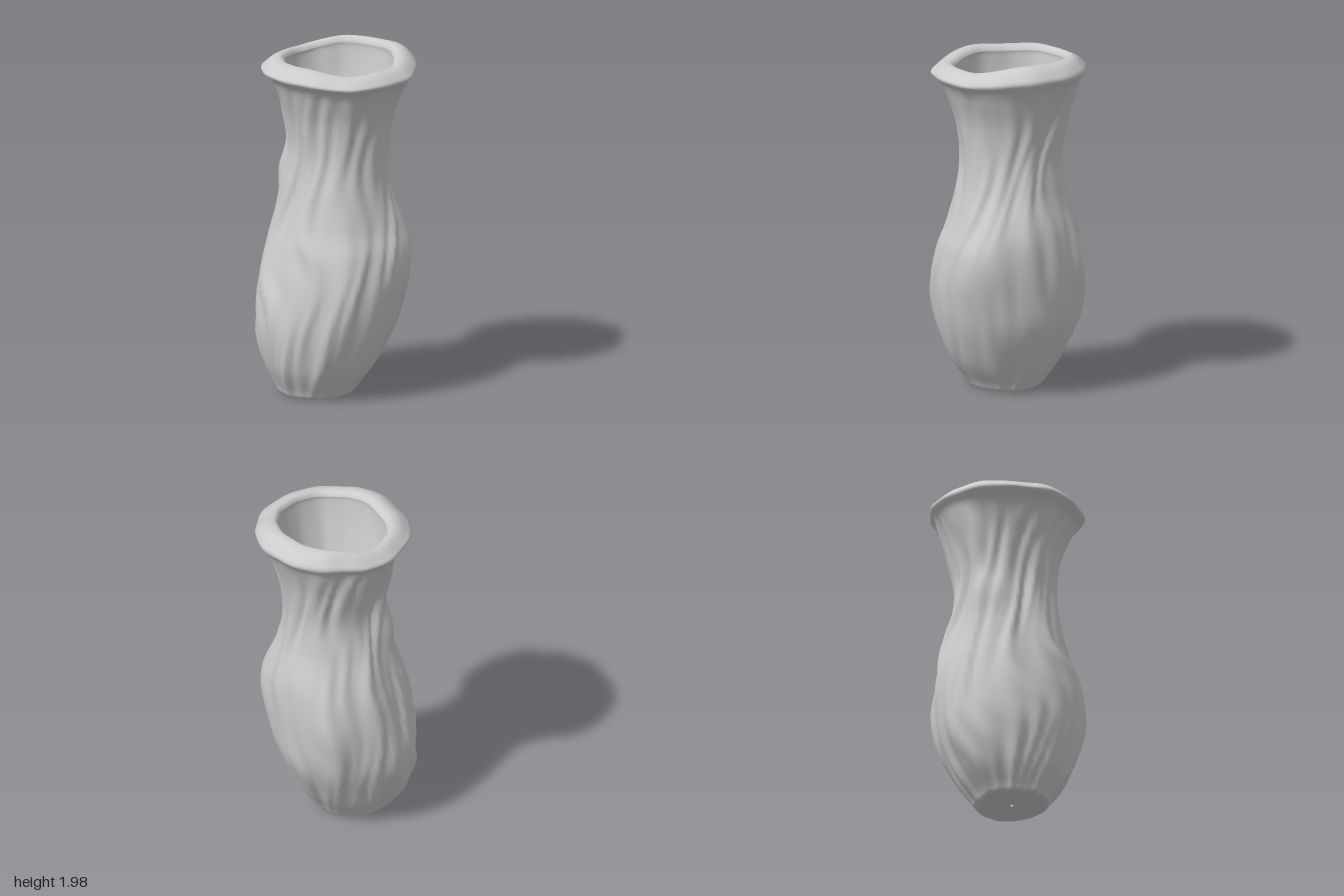
import * as THREE from 'three';

const SIDES = 96, STEPS = 5;

// Cross-sections: y, xMin, xMax, zMin, zMax, fold strength
const foot = [
  [0.012, -0.13, -0.11, -0.04, -0.02, 0],
  [0.008, -0.24, 0.00, -0.13, 0.07, 0],
];
const body = [
  [0.01, -0.33, 0.09, -0.22, 0.16, 0.3],
  [0.06, -0.36, 0.13, -0.26, 0.20, 0.6],
  [0.20, -0.42, 0.22, -0.35, 0.30, 1],
  [0.42, -0.455, 0.325, -0.42, 0.38, 1],
  [0.65, -0.43, 0.355, -0.425, 0.415, 1],
  [0.85, -0.385, 0.365, -0.405, 0.395, 1],
  [1.00, -0.34, 0.355, -0.37, 0.345, 1],
  [1.20, -0.29, 0.31, -0.32, 0.30, 1],
  [1.40, -0.26, 0.295, -0.295, 0.285, 1],
  [1.60, -0.28, 0.325, -0.33, 0.31, 1],
  [1.75, -0.325, 0.375, -0.375, 0.365, 0.8],
  [1.83, -0.365, 0.415, -0.405, 0.405, 0.3],
];
const rim = [
  [1.88, -0.42, 0.46, -0.44, 0.44, 0],
  [1.915, -0.395, 0.435, -0.415, 0.42, 0],
  [1.945, -0.35, 0.39, -0.38, 0.38, 0],
  [1.95, -0.30, 0.345, -0.35, 0.34, 0],
  [1.925, -0.27, 0.32, -0.33, 0.32, 0],
  [1.89, -0.27, 0.32, -0.33, 0.32, 0],
];
const cavity = [
  [1.75, -0.255, 0.295, -0.305, 0.295, 0.1],
  [1.50, -0.205, 0.25, -0.245, 0.235, 0.2],
  [1.25, -0.145, 0.20, -0.185, 0.185, 0.2],
  [1.05, -0.07, 0.14, -0.11, 0.12, 0.1],
  [0.97, 0.038, 0.042, 0.008, 0.012, 0],
];

// Broad bulges: angle, height, half angle, half height, amount
const bulges = [
  [0.79, 0.84, 0.45, 0.28, 0.05],
  [-0.79, 0.70, 0.45, 0.25, 0.035],
  [3.93, 1.29, 0.35, 0.13, 0.035],
  [3.93, 0.50, 0.40, 0.25, 0.015],
];

function bulge(a, y) {
  let sum = 0;
  for (const [a0, y0, da, dy, amount] of bulges) {
    const turn = Math.atan2(Math.sin(a - a0), Math.cos(a - a0));
    sum += amount * Math.exp(-((turn / da) ** 2) - ((y - y0) / dy) ** 2);
  }
  return sum;
}

// Wandering vertical folds that fade in and out with height
function folds(a, y) {
  const w = a + 0.13 * Math.sin(4.3 * y + 2 * a) + 0.06 * Math.sin(9 * y + 3 * a) + 0.12 * y;
  const fade = (k, s) => 0.65 + 0.35 * Math.sin(k * y + s * a);
  const ridge = Math.sin(9 * w + 1.3 * Math.sin(2.3 * y)) * 0.011 * fade(6, 3)
    + Math.sin(17 * w + 2 * Math.sin(3.7 * y + 1)) * 0.010 * fade(8, 5)
    + Math.sin(26 * w + 2 * Math.sin(5 * y)) * 0.005 * fade(11, 4)
    + Math.sin(5 * a - 4 * y) * 0.005;
  return ridge * (0.95 + 0.25 * Math.cos(a - 4.0));
}

// Uneven height of the lip
function lipWave(a, y) {
  const k = THREE.MathUtils.smoothstep(y, 1.78, 1.95);
  return k * (0.022 * Math.cos(a + 0.5) + 0.016 * Math.cos(2 * a + 0.3) + 0.006 * Math.sin(5 * a));
}

function point(c, r, f, a) {
  const lobed = 1 + 0.012 * Math.sin(3 * a + 1.8) + 0.01 * Math.sin(7 * a) + 0.006 * Math.sin(13 * a);
  const d = f * (folds(a, c.y) + bulge(a, c.y));
  return [
    c.x + Math.cos(a) * (r.x * lobed + d),
    c.y + lipWave(a, c.y),
    c.z + Math.sin(a) * (r.z * lobed + d),
  ];
}

// Smooth skin through a list of cross-sections
function loft(rows) {
  const centres = new THREE.CatmullRomCurve3(
    rows.map(([y, x0, x1, z0, z1]) => new THREE.Vector3((x0 + x1) / 2, y, (z0 + z1) / 2)), false, 'catmullrom');
  const radii = new THREE.CatmullRomCurve3(
    rows.map(([, x0, x1, z0, z1, f]) => new THREE.Vector3((x1 - x0) / 2, f, (z1 - z0) / 2)), false, 'catmullrom');
  const n = (rows.length - 1) * STEPS, pos = [], index = [];
  for (let i = 0; i <= n; i++) {
    const c = centres.getPoint(i / n), r = radii.getPoint(i / n);
    for (let j = 0; j < SIDES; j++) pos.push(...point(c, r, r.y, j / SIDES * Math.PI * 2));
  }
  for (let i = 0; i < n; i++) {
    for (let j = 0; j < SIDES; j++) {
      const a = i * SIDES + j, b = i * SIDES + (j + 1) % SIDES;
      index.push(a, a + SIDES, b, b, a + SIDES, b + SIDES);
    }
  }
  const geo = new THREE.BufferGeometry();
  geo.setAttribute('position', new THREE.Float32BufferAttribute(pos, 3));
  geo.setIndex(index);
  geo.computeVertexNormals();
  return geo;
}

export function createModel() {
  const group = new THREE.Group();
  group.name = 'wrinkledVase';
  const material = new THREE.MeshStandardMaterial({ color: 0xcccccc, side: THREE.DoubleSide });

  // One continuous skin: foot, wrinkled wall, rolled lip and funnel-shaped inside
  const vase = new THREE.Mesh(loft([...foot, ...body, ...rim, ...cavity]), material);
  vase.name = 'vaseBody';
  group.add(vase);

  return group;
}
